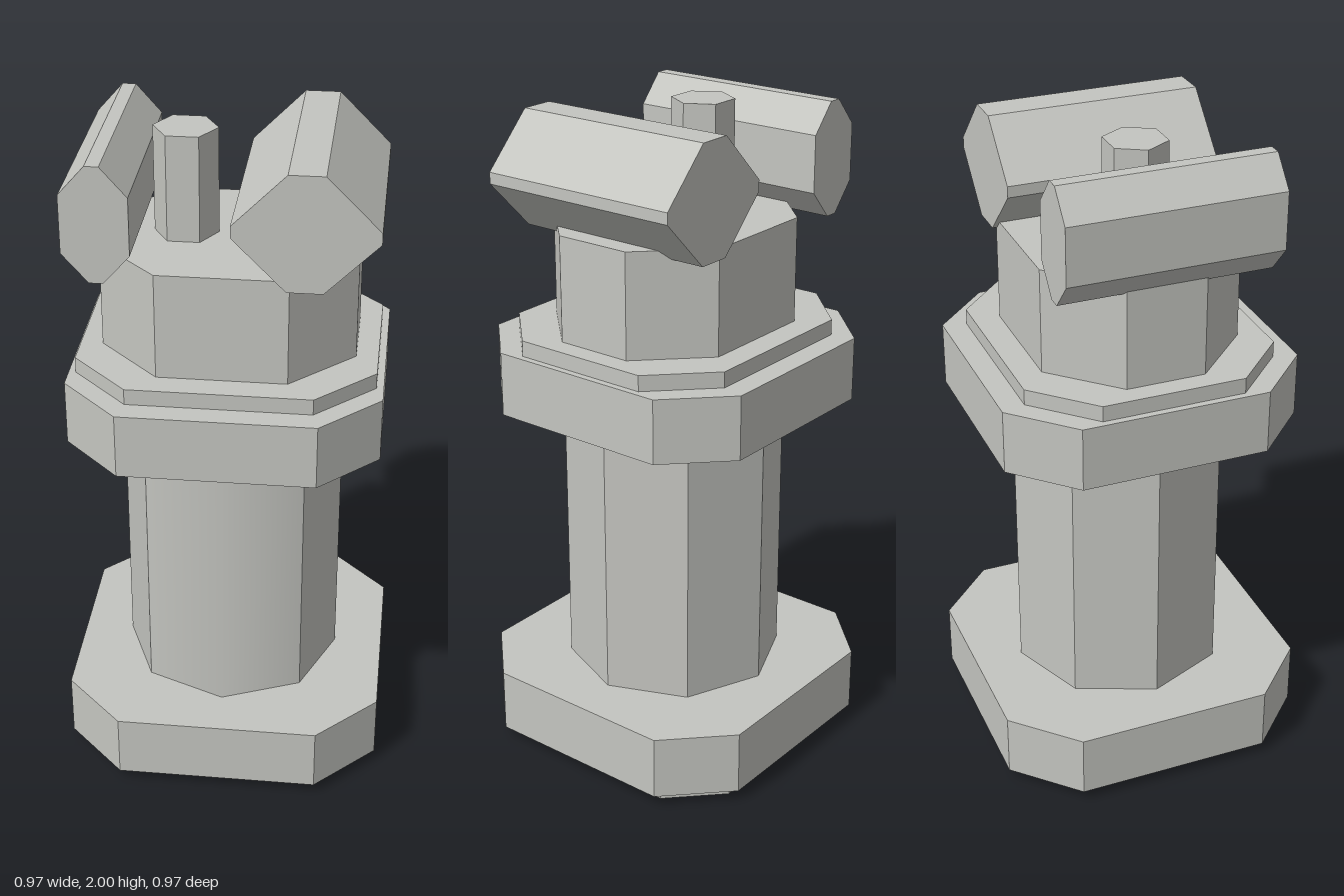
import * as THREE from 'three';

export function createModel() {
  const model = new THREE.Group();
  model.name = 'pedestal';
  const grey = new THREE.MeshStandardMaterial({ color: 0xc4c5c0 });
  grey.name = 'stone grey';

  const add = (name, geometry) => {
    const mesh = new THREE.Mesh(geometry, grey);
    mesh.name = name;
    model.add(mesh);
    return mesh;
  };

  // Rectangle with cut corners: half sizes hx, hy and half lengths fx, fy of the flat sides
  const chamferedShape = (hx, hy, fx, fy) => new THREE.Shape([
    [fx, -hy], [hx, -fy], [hx, fy], [fx, hy],
    [-fx, hy], [-hx, fy], [-hx, -fy], [-fx, -hy],
  ].map(([x, y]) => new THREE.Vector2(x, y)));

  const extrude = (shape, depth) =>
    new THREE.ExtrudeGeometry(shape, { depth, bevelEnabled: false });

  // Stacked slabs from bottom to top: y0, y1, hx, hz, fx, fz
  const slabs = {
    foot: [0, 0.035, 0.443, 0.443, 0.295, 0.295],
    base: [0.035, 0.235, 0.486, 0.486, 0.305, 0.305],
    collar: [1.118, 1.314, 0.458, 0.458, 0.285, 0.285],
    collarStep: [1.314, 1.362, 0.437, 0.387, 0.267, 0.217],
    head: [1.362, 1.682, 0.372, 0.306, 0.188, 0.12],
  };
  for (const [name, [y0, y1, hx, hz, fx, fz]] of Object.entries(slabs)) {
    const geometry = extrude(chamferedShape(hx, hz, fx, fz), y1 - y0);
    geometry.rotateX(-Math.PI / 2);
    add(name, geometry).position.y = y0;
  }

  // Eight-sided column, faceted except for a softened front edge
  const column = new THREE.CylinderGeometry(0.336, 0.336, 0.89, 8).toNonIndexed();
  column.computeVertexNormals();
  const { position, normal } = column.attributes;
  for (let i = 0; i < position.count; i++) {
    const onFrontEdge = Math.abs(position.getX(i)) < 0.01 && position.getZ(i) > 0.3;
    if (onFrontEdge && Math.abs(normal.getY(i)) < 0.5) normal.setXYZ(i, 0, 0, 1);
  }
  add('column', column).position.y = 0.676;

  // Two bars lying front to back on the head
  const addBar = (name, x, hx, fx, fy) => {
    const geometry = extrude(chamferedShape(hx, 0.172, fx, fy), 0.64);
    add(name, geometry).position.set(x, 1.828, -0.32);
  };
  addBar('wideBar', 0.231, 0.205, 0.051, 0.017);
  addBar('narrowBar', -0.345, 0.096, 0.02, 0.086);

  // Six-sided pin standing between the bars
  const pin = new THREE.CylinderGeometry(0.094, 0.094, 0.32, 6).toNonIndexed();
  pin.computeVertexNormals();
  pin.rotateY(Math.PI / 2);
  add('pin', pin).position.set(-0.134, 1.84, 0);

  return model;
}
